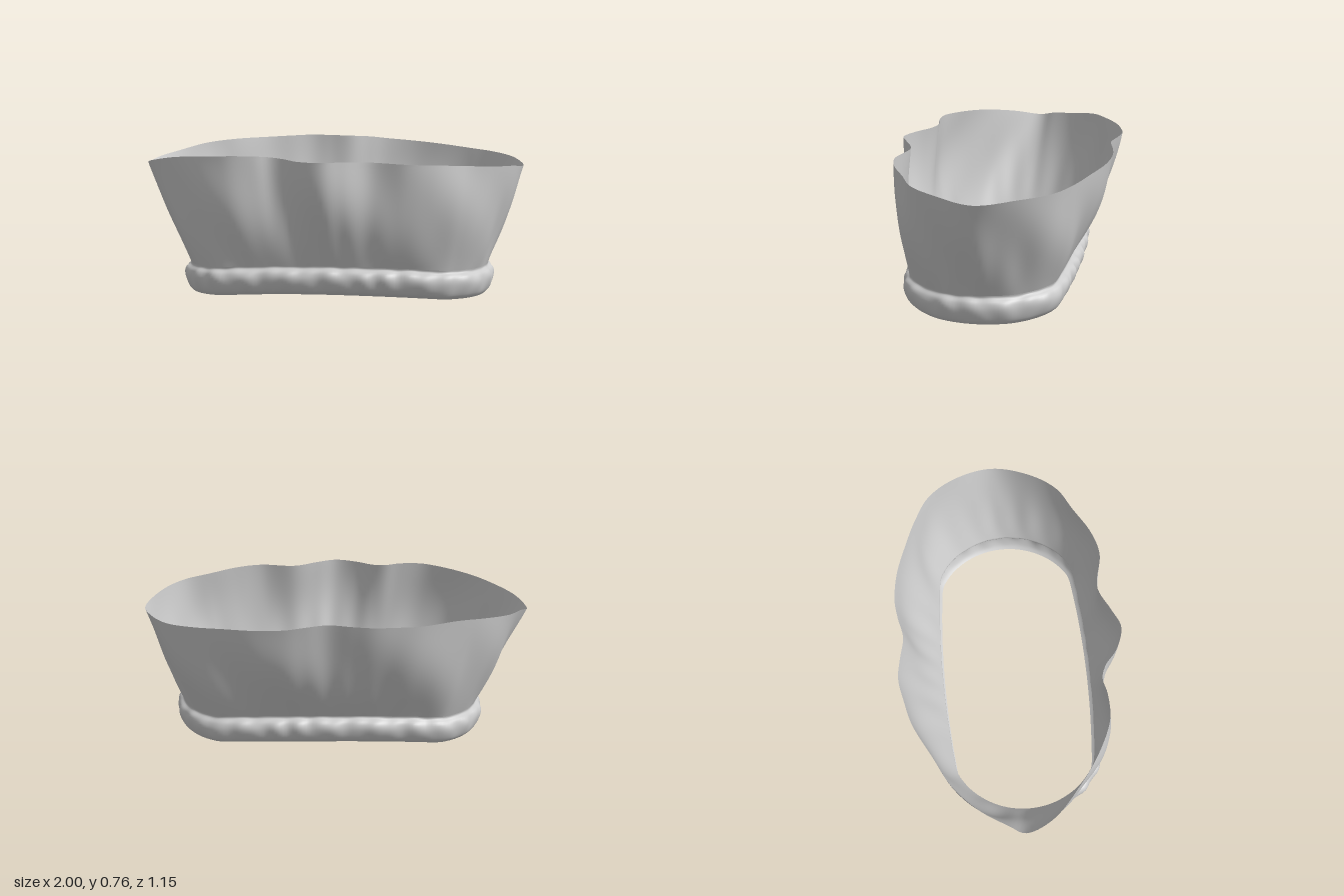
import * as THREE from 'three';

const N = 240; // steps around the sleeve

// Closed curve sampled evenly, starting at +x and running over the back
function ring(points) {
  const curve = new THREE.CatmullRomCurve3(points.map(p => new THREE.Vector3(...p)), true, 'centripetal');
  curve.arcLengthDivisions = 1200;
  return curve.getSpacedPoints(N).slice(0, N);
}

// Wavy upper rim: x, y, z
const rim = ring([
  [1, 0.67, 0], [0.95, 0.69, -0.2], [0.85, 0.7, -0.35], [0.72, 0.71, -0.43], [0.55, 0.725, -0.5],
  [0.4, 0.735, -0.55], [0.25, 0.745, -0.57], [0.15, 0.755, -0.56], [0.04, 0.76, -0.54],
  [-0.08, 0.76, -0.565], [-0.18, 0.76, -0.58], [-0.3, 0.755, -0.56], [-0.42, 0.75, -0.53],
  [-0.6, 0.745, -0.44], [-0.75, 0.73, -0.36], [-0.88, 0.7, -0.23], [-0.96, 0.68, -0.1],
  [-1, 0.66, -0.02], [-0.95, 0.685, 0.12], [-0.8, 0.72, 0.27], [-0.68, 0.735, 0.36],
  [-0.55, 0.745, 0.43], [-0.47, 0.75, 0.455], [-0.35, 0.75, 0.455], [-0.27, 0.745, 0.44],
  [-0.2, 0.74, 0.465], [-0.12, 0.735, 0.53], [0, 0.735, 0.57], [0.1, 0.735, 0.53],
  [0.23, 0.73, 0.475], [0.42, 0.725, 0.51], [0.55, 0.72, 0.48], [0.7, 0.71, 0.4],
  [0.83, 0.7, 0.33], [0.93, 0.69, 0.2],
]);

// Rounded, slightly arched lower opening
const arch = x => 0.05 - (x < 0 ? 0.05 : 0.03) * Math.min(1, (x / 0.78) ** 2);
const stadium = [];
for (let k = 0; k < 96; k++) {
  const a = (k / 96) * Math.PI * 2, c = Math.cos(a);
  const end = Math.sign(c) * Math.min(1, Math.abs(c) * 2.5);
  const x = 0.035 + 0.42 * end + 0.365 * c;
  stadium.push([x, arch(x), 0.035 - 0.395 * Math.sin(a)]);
}
const foot = ring(stadium);

// Outward directions around the lower opening
const out = foot.map((p, i) => {
  const q = foot[(i + 1) % N].clone().sub(foot[(i + N - 1) % N]);
  return new THREE.Vector3(-q.z, 0, q.x).normalize();
});

// Skin a stack of closed rings; place(i, t) gives the point at step i, height t
function loft(name, rows, place) {
  const pos = [], index = [];
  for (let j = 0; j <= rows; j++) {
    for (let i = 0; i < N; i++) {
      pos.push(...place(i, j / rows).toArray());
      if (j === rows) continue;
      const a = j * N + i, b = j * N + (i + 1) % N;
      index.push(a, b, b + N, a, b + N, a + N);
    }
  }
  const geo = new THREE.BufferGeometry();
  geo.setAttribute('position', new THREE.Float32BufferAttribute(pos, 3));
  geo.setIndex(index);
  geo.computeVertexNormals();
  const mesh = new THREE.Mesh(geo, new THREE.MeshStandardMaterial({ color: 0xcccccc, side: THREE.DoubleSide }));
  mesh.name = name;
  return mesh;
}

// Gathered band: outward offset and height profile, smoothed by a spline
const bandProfile = new THREE.SplineCurve([
  [0, 0], [0.022, 0.02], [0.038, 0.055], [0.043, 0.09], [0.032, 0.118], [0.008, 0.135], [0.008, 0.148],
].map(p => new THREE.Vector2(...p)));

function bandPoint(i, t) {
  const a = (i / N) * Math.PI * 2, p = bandProfile.getPoint(t);
  const pucker = Math.sin(Math.PI * t) ** 2 * (0.005 * Math.sin(23 * a + 2 * Math.sin(5 * a) + 3 * t)
    + 0.003 * Math.sin(41 * a - 4 * t));
  const v = foot[i].clone().addScaledVector(out[i], (p.x + pucker) * (1 - 0.2 * Math.abs(out[i].x)));
  v.y += p.y + 0.6 * pucker;
  return v;
}

// Flared cloth wall with slanted folds and gathers just above the band
function wallPoint(i, t) {
  const a = (i / N) * Math.PI * 2, hump = Math.sin(Math.PI * t);
  const base = bandPoint(i, 1);
  const v = base.lerp(rim[i], t);
  const bulge = 0.028 * hump * Math.abs(out[i].z) + 0.004 * hump;
  const folds = 0.008 * hump * Math.sin(9 * a + 3.5 * t + 1.5 * Math.sin(2 * a));
  const gathers = 0.006 * Math.sin(27 * a + 2 * Math.sin(4 * a)) * hump * (1 - t) ** 2;
  return v.addScaledVector(out[i], bulge + folds + gathers);
}

export function createModel() {
  const model = new THREE.Group();
  model.name = 'clothCuff';
  model.add(loft('gatheredBand', 20, bandPoint), loft('flaredWall', 32, wallPoint));
  return model;
}
